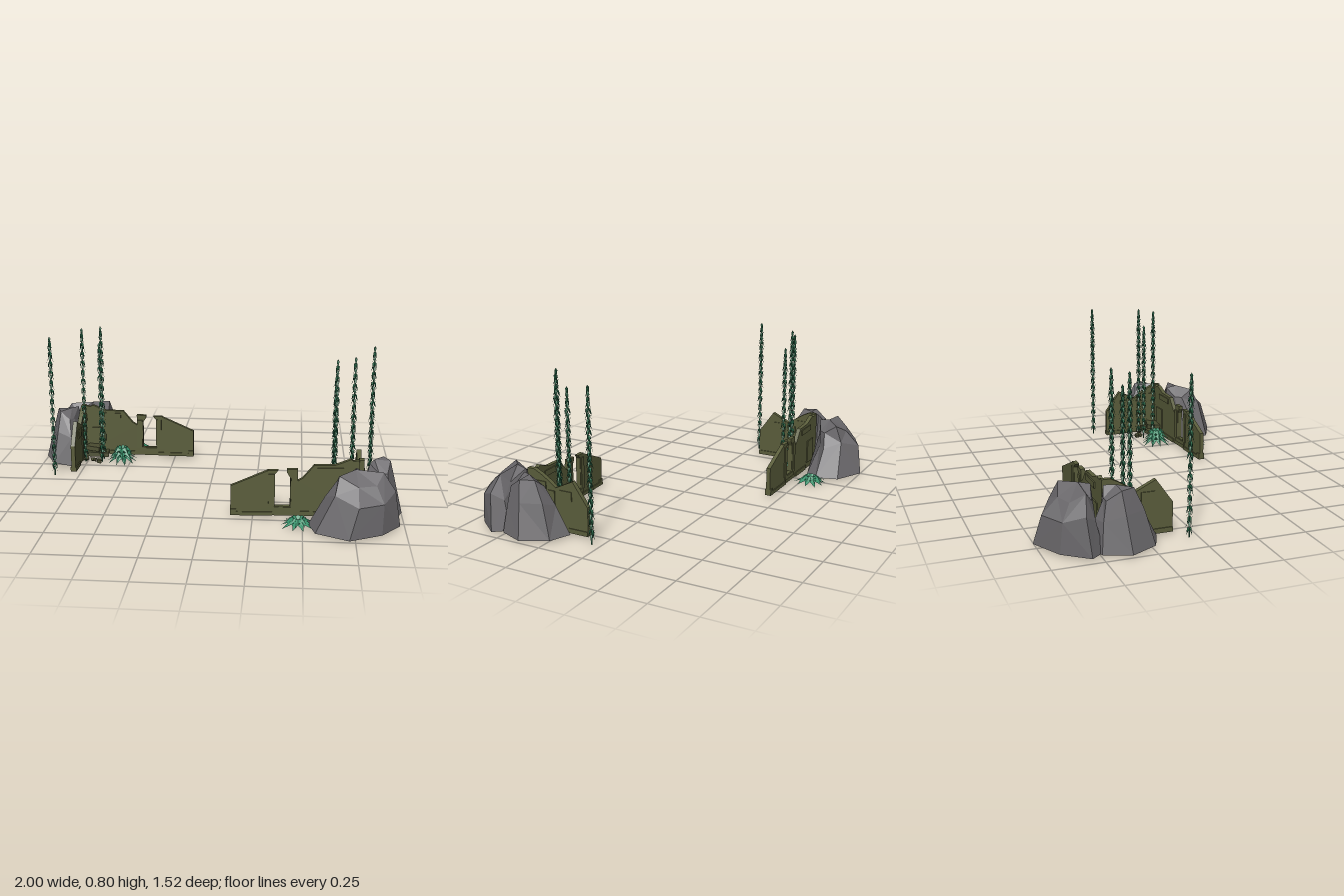
import * as THREE from 'three';
import { mergeGeometries } from 'three/addons/utils/BufferGeometryUtils.js';

const flat = (color, side = THREE.FrontSide) => new THREE.MeshStandardMaterial({ color, flatShading: true, side });
const MAT = {
  rock: flat(0x6b696c, THREE.DoubleSide),
  wall: flat(0x5a5d3b),
  trim: flat(0x4c4e32),
  fern: flat(0x37906a, THREE.DoubleSide),
  vine: flat(0x2a6a4a, THREE.DoubleSide),
};
const GROUND = 0.036;

function mesh(name, geometry, material, parent) {
  const m = new THREE.Mesh(geometry, material);
  m.name = name;
  parent.add(m);
  return m;
}

function facets(points) {
  const g = new THREE.BufferGeometry();
  g.setAttribute('position', new THREE.Float32BufferAttribute(points.flat(), 3));
  g.computeVertexNormals();
  return g;
}

// Open-bottomed boulder: a base outline lofted through shrinking rings to an apex.
// levels are [y, scale, centreX, centreZ, unevenness]
function boulder(outline, levels, apex) {
  const [, , cx, cz] = levels[0];
  const rings = levels.map(([y, s, x, z, w]) => outline.map(([px, pz], i) => {
    const k = s * (1 + w * Math.sin(i * 2.6 + y * 20));
    return [x + (px - cx) * k, y + w * 0.3 * Math.cos(i * 2.1), z + (pz - cz) * k];
  }));
  const top = rings[rings.length - 1];
  const tris = [];
  const n = outline.length;
  for (let i = 0; i < n; i++) {
    const j = (i + 1) % n;
    for (let r = 0; r + 1 < rings.length; r++) {
      const l = rings[r], u = rings[r + 1];
      // alternate the diagonal for a chiselled look
      if ((i + r) % 2) tris.push(l[i], u[i], l[j], l[j], u[i], u[j]);
      else tris.push(l[i], u[i], u[j], l[i], u[j], l[j]);
    }
    tris.push(top[i], apex, top[j]);
  }
  return facets(tris);
}

// Upright slab cut from a side profile, centred on its thickness
function slab(profile, depth) {
  const shape = new THREE.Shape(profile.map(([x, y]) => new THREE.Vector2(x, y)));
  return new THREE.ExtrudeGeometry(shape, { depth, bevelEnabled: false }).translate(0, 0, -depth / 2);
}

// Raised plates standing slightly proud of both wall faces: [x0, y0, x1, y1]
function plates(list, depth) {
  return mergeGeometries(list.map(([x0, y0, x1, y1]) =>
    new THREE.BoxGeometry(x1 - x0, y1 - y0, depth).translate((x0 + x1) / 2, (y0 + y1) / 2, 0)));
}

// Folded leaf along +x: root, two shoulders, midrib and tip
function leaf(length, width, rise, tipY) {
  const a = [0, 0, 0], m = [length * 0.5, rise, 0], t = [length, tipY, 0];
  const l = [length * 0.45, rise * 0.8, width], r = [length * 0.45, rise * 0.8, -width];
  return facets([a, l, m, a, m, r, l, t, m, m, t, r]);
}

// Fern: layered rosettes, the inner ones shorter and steeper
function fern(height) {
  const leaves = [];
  for (let layer = 0; layer < 3; layer++) {
    const count = 10 - layer;
    for (let i = 0; i < count; i++) {
      const len = (0.088 - layer * 0.016) * (1 + 0.08 * Math.sin(i * 2.3 + layer));
      const rise = height * (0.3 + layer * 0.3);
      leaves.push(leaf(len, 0.017, rise, layer * height * 0.3 - 0.012)
        .rotateY((i + layer * 0.5) / count * Math.PI * 2));
    }
  }
  return mergeGeometries(leaves);
}

// Hanging vine: thin stem with drooping whorls of leaves
function vine(top) {
  const bottom = 0.03;
  const parts = [];
  const count = Math.round((top - bottom) / 0.027);
  for (let k = 0; k < count; k++) {
    const y = top - k * (top - bottom - 0.03) / count;
    const reach = Math.min(0.017, 0.007 + k * 0.003) * (1 + 0.2 * Math.sin(k * 1.9));
    for (let i = 0; i < 4; i++) {
      parts.push(leaf(reach, 0.0065, -0.012, -0.04).rotateY(i * Math.PI / 2 + k * 0.8).translate(0, y, 0));
    }
  }
  const stem = new THREE.CylinderGeometry(0.002, 0.004, top - bottom, 4).toNonIndexed();
  stem.deleteAttribute('uv');
  parts.push(stem.translate(0, (top + bottom) / 2, 0));
  return mergeGeometries(parts);
}

function buildRuin(wallZ, wallTurn) {
  const ruin = new THREE.Group();

  // Boulders
  mesh('largeBoulder', boulder(
    [[0.976, 0.553], [0.88, 0.676], [0.72, 0.76], [0.56, 0.68], [0.527, 0.56], [0.58, 0.49], [0.72, 0.45], [0.917, 0.48]],
    [[GROUND, 1, 0.75, 0.58, 0], [0.2, 0.75, 0.785, 0.59, 0.08], [0.28, 0.52, 0.775, 0.565, 0.1]],
    [0.75, 0.322, 0.55]), MAT.rock, ruin);
  mesh('smallBoulder', boulder(
    [[1.0, 0.37], [0.95, 0.5], [0.87, 0.525], [0.78, 0.47], [0.785, 0.27], [0.82, 0.19], [0.93, 0.235]],
    [[GROUND, 1, 0.87, 0.38, 0], [0.19, 0.74, 0.865, 0.395, 0.07], [0.29, 0.48, 0.87, 0.405, 0.1]],
    [0.85, 0.325, 0.4]), MAT.rock, ruin);

  // Long wall with a broken window
  const longWall = new THREE.Group();
  longWall.name = 'longWall';
  longWall.position.set(0.138, 0, wallZ);
  longWall.rotation.y = wallTurn;
  ruin.add(longWall);
  mesh('longWallPanel', slab([
    [0, GROUND], [0.66, GROUND], [0.66, 0.335], [0.61, 0.325], [0.595, 0.335], [0.56, 0.32], [0.52, 0.305], [0.415, 0.302],
    [0.36, 0.235], [0.335, 0.22], [0.335, 0.28], [0.28, 0.28], [0.28, 0.265], [0.298, 0.235], [0.298, 0.085],
    [0.222, 0.085], [0.222, 0.255], [0.238, 0.275], [0.185, 0.275], [0.185, 0.272], [0, 0.19],
  ], 0.022), MAT.wall, longWall);
  mesh('longWallTrim', plates([
    [0.0, GROUND, 0.03, 0.07], [0.03, GROUND, 0.21, 0.055], [0.19, 0.08, 0.218, 0.255], [0.302, 0.08, 0.332, 0.25],
    [0.2, 0.06, 0.32, 0.082], [0.35, GROUND, 0.5, 0.06], [0.43, 0.26, 0.56, 0.29], [0.52, 0.07, 0.6, 0.2],
  ], 0.034), MAT.wall, longWall);

  // Short wall running forward from the corner
  const shortWall = new THREE.Group();
  shortWall.name = 'shortWall';
  shortWall.position.x = 0.786;
  shortWall.rotation.y = -Math.PI / 2;
  ruin.add(shortWall);
  mesh('shortWallPanel', slab([
    [0.1, GROUND], [0.45, GROUND], [0.45, 0.335], [0.41, 0.335], [0.37, 0.315], [0.33, 0.29],
    [0.285, 0.257], [0.185, 0.305], [0.1, 0.185],
  ], 0.024), MAT.wall, shortWall);
  mesh('shortWallTrim', plates([
    [0.1, GROUND, 0.21, 0.06], [0.19, 0.2, 0.26, 0.25], [0.29, GROUND, 0.33, 0.24], [0.34, 0.24, 0.43, 0.28],
  ], 0.034), MAT.wall, shortWall);

  // Fallen slabs heaped in the corner
  [[0.70, 0.06, 0.375, 0.13, 0.025, 0.1, 0.15], [0.72, 0.09, 0.385, 0.09, 0.025, 0.08, -0.25]]
    .forEach(([x, y, z, w, h, d, turn]) => {
      const m = mesh('fallenSlab', new THREE.BoxGeometry(w, h, d), MAT.trim, ruin);
      m.position.set(x, y, z);
      m.rotation.set(0.08, turn, 0.06);
    });
  [[0.67, 0.262], [0.71, 0.29], [0.755, 0.305], [0.68, 0.285]].forEach(([x, z], i) => {
    const m = mesh('rubble', new THREE.BoxGeometry(0.024, 0.018, 0.02), MAT.trim, ruin);
    m.position.set(x, GROUND + 0.01, z);
    m.rotation.set(i * 0.3, i * 1.1, 0.2);
  });

  // Ferns either side of the long wall
  [[0.548, 0.34, 0.09], [0.478, 0.55, 0.035]].forEach(([x, z, h]) =>
    mesh('fern', fern(h), MAT.fern, ruin).position.set(x, GROUND, z));
  return ruin;
}

export function createModel() {
  const model = new THREE.Group();

  // Two ruins facing each other across the centre, one long wall slightly askew
  [['leftRuin', 0.462, 0.05], ['rightRuin', 0.438, -0.004]].forEach(([name, wallZ, wallTurn], i) => {
    const ruin = buildRuin(wallZ, wallTurn);
    ruin.name = name;
    ruin.rotation.y = i * Math.PI;
    model.add(ruin);
  });

  // Vines: x, z, top
  [
    [0.857, 0.04, 0.82], [0.745, 0.3, 0.82], [0.655, 0.36, 0.82], [0.655, 0.3, 0.735],
    [-0.88, -0.05, 0.82], [-0.757, -0.3, 0.82], [-0.66, -0.355, 0.82], [-0.66, -0.3, 0.735],
  ].forEach(([x, z, top]) => mesh('vine', vine(top), MAT.vine, model).position.set(x, 0, z));
  return model;
}
